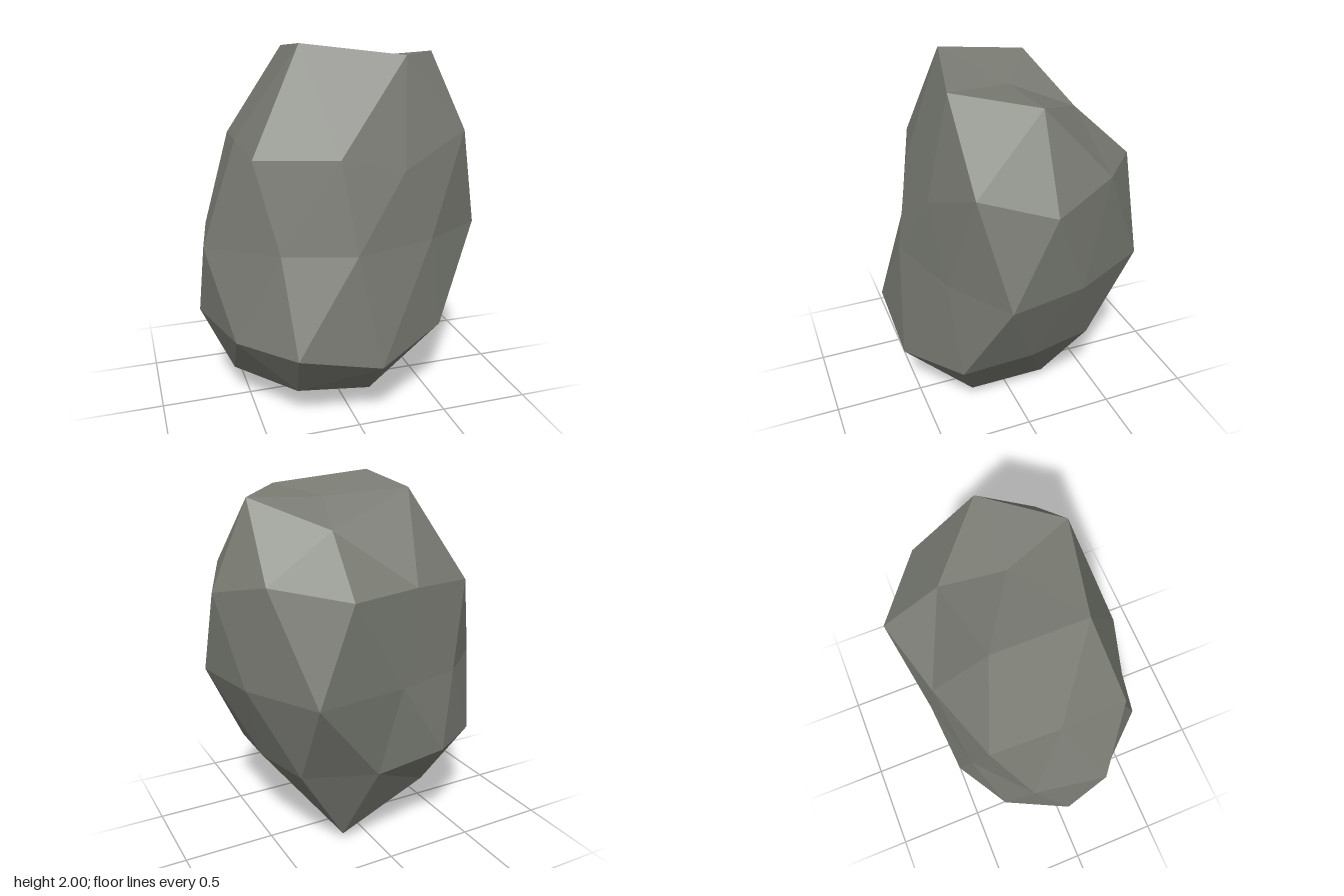
import * as THREE from 'three';

// Rings of corners from top to bottom; each ring runs from +x towards +z.
const TOP = [[0.15, 1.9, 0]];
const CROWN = [
  [0.56, 1.92, 0], [0.27, 1.94, 0.35], [-0.24, 2, 0.23], [-0.22, 1.95, -0.23], [0.25, 1.78, -0.31],
];
const SHOULDER = [
  [0.76, 1.47, 0], [0.61, 1.55, 0.34], [0.24, 1.39, 0.46], [-0.1, 1.47, 0.47], [-0.51, 1.47, 0.35],
  [-0.53, 1.5, 0], [-0.51, 1.47, -0.36], [-0.12, 1.5, -0.5], [0.29, 1.5, -0.61], [0.61, 1.55, -0.34],
];
const WAIST = [
  [0.755, 1, 0.215], [0.41, 1, 0.43], [-0.035, 1, 0.555], [-0.4, 1, 0.44], [-0.745, 1, 0.195],
  [-0.68, 1, -0.19], [-0.4, 1, -0.44], [-0.03, 1, -0.535], [0.47, 1, -0.6], [0.68, 1, -0.19],
];
const HIP = [
  [0.53, 0.52, 0.01], [0.5, 0.48, 0.385], [0.09, 0.385, 0.6], [-0.36, 0.5, 0.61], [-0.62, 0.5, 0.32],
  [-0.76, 0.57, 0], [-0.6, 0.58, -0.33], [-0.31, 0.58, -0.505], [0.07, 0.51, -0.47], [0.46, 0.53, -0.35],
];
const FOOT = [
  [0.155, 0.04, 0.22], [-0.31, 0.19, 0.37], [-0.585, 0.18, 0], [-0.3, 0.32, -0.32], [0.155, 0.04, -0.23],
];
const BOTTOM = [[-0.23, 0, 0]];

function rockGeometry() {
  const positions = [];
  const at = (ring, i) => ring[i % ring.length];
  const tri = (a, b, c) => positions.push(...a, ...b, ...c);

  // Caps and the bands that widen from five corners to ten
  for (let k = 0; k < 5; k++) {
    const a = at(CROWN, k), a2 = at(CROWN, k + 1), s = at(SHOULDER, 2 * k + 1);
    tri(TOP[0], a2, a);
    tri(a, s, at(SHOULDER, 2 * k));
    tri(a, a2, s);
    tri(a2, at(SHOULDER, 2 * k + 2), s);

    const f = at(FOOT, k), f2 = at(FOOT, k + 1), h = at(HIP, 2 * k + 2);
    tri(BOTTOM[0], f, f2);
    tri(f, at(HIP, 2 * k + 1), h);
    tri(f, h, f2);
    tri(f2, h, at(HIP, 2 * k + 3));
  }
  // Zigzag bands above and below the waist
  for (let i = 0; i < 10; i++) {
    const w = at(WAIST, i), w2 = at(WAIST, i + 1);
    tri(at(SHOULDER, i), at(SHOULDER, i + 1), w);
    tri(at(SHOULDER, i + 1), w2, w);
    tri(w, at(HIP, i + 1), at(HIP, i));
    tri(w, w2, at(HIP, i + 1));
  }

  const geometry = new THREE.BufferGeometry();
  geometry.setAttribute('position', new THREE.Float32BufferAttribute(positions, 3));
  geometry.computeVertexNormals();
  return geometry;
}

export function createModel() {
  const stone = new THREE.MeshStandardMaterial({ color: 0x7a7c74, flatShading: true });
  stone.name = 'grey stone';
  const rock = new THREE.Mesh(rockGeometry(), stone);
  rock.name = 'rock';
  const group = new THREE.Group();
  group.name = 'boulder';
  group.add(rock);
  return group;
}
